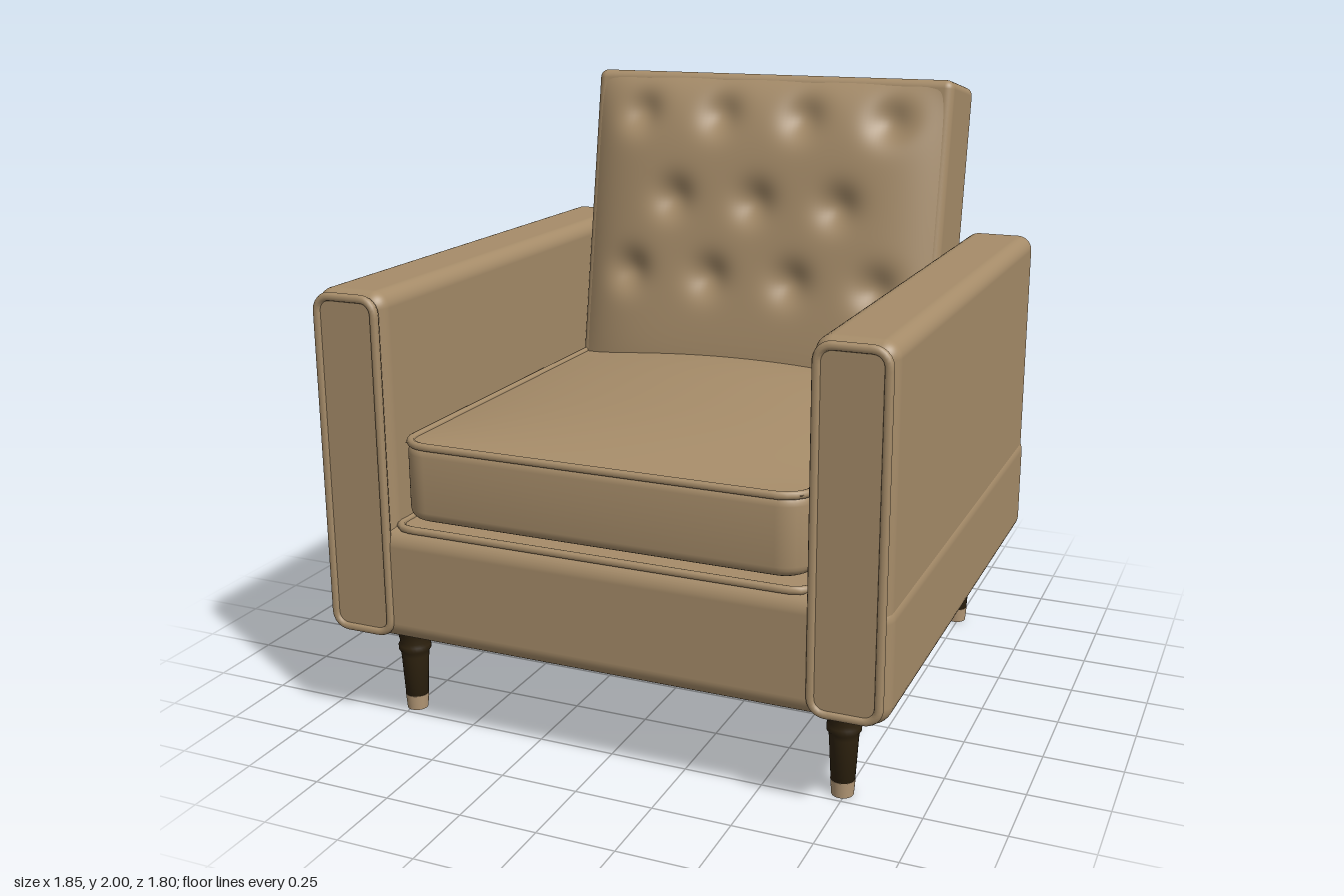
import * as THREE from 'three';
import { RoundedBoxGeometry } from 'three/addons/geometries/RoundedBoxGeometry.js';
import { toCreasedNormals } from 'three/addons/utils/BufferGeometryUtils.js';

const fabric = new THREE.MeshStandardMaterial({ color: 0xa68c69 });
fabric.name = 'tan fabric';
const wood = new THREE.MeshStandardMaterial({ color: 0x2e220f });
wood.name = 'dark wood';
const tip = new THREE.MeshStandardMaterial({ color: 0xb49876 });
tip.name = 'pale foot tip';

function add(parent, name, geometry, material, x = 0, y = 0, z = 0) {
  const mesh = new THREE.Mesh(geometry, material);
  mesh.name = name;
  mesh.position.set(x, y, z);
  parent.add(mesh);
  return mesh;
}

// Rounded rectangle centred on the origin
function roundedRect(w, h, r) {
  const x = w / 2, y = h / 2, s = new THREE.Shape();
  s.moveTo(-x + r, -y);
  s.lineTo(x - r, -y);
  s.absarc(x - r, -y + r, r, -Math.PI / 2, 0);
  s.lineTo(x, y - r);
  s.absarc(x - r, y - r, r, 0, Math.PI / 2);
  s.lineTo(-x + r, y);
  s.absarc(-x + r, y - r, r, Math.PI / 2, Math.PI);
  s.lineTo(-x, -y + r);
  s.absarc(-x + r, -y + r, r, Math.PI, Math.PI * 1.5);
  return s;
}

// Closed cord following a rounded rectangle in the XY plane
function piping(w, h, r, thick) {
  const pts = roundedRect(w, h, r).getSpacedPoints(140).slice(0, -1);
  const path = new THREE.CatmullRomCurve3(pts.map(p => new THREE.Vector3(p.x, p.y, 0)), true);
  return new THREE.TubeGeometry(path, 220, thick, 8, true);
}

// Plane whose surface is raised by a rule of its local position
function puffedPlane(w, h, n, height) {
  const g = new THREE.PlaneGeometry(w, h, n, n), p = g.attributes.position;
  for (let i = 0; i < p.count; i++) {
    const x = p.getX(i), y = p.getY(i);
    p.setZ(i, height(x, y, (2 * x) / w, (2 * y) / h));
  }
  g.computeVertexNormals();
  return g;
}

function makeBack() {
  const back = new THREE.Group();
  back.name = 'backrest';
  back.position.set(0, 1.36, -0.641);
  back.rotation.x = -0.175;
  add(back, 'backrestBody', new RoundedBoxGeometry(1.34, 1.25, 0.31, 5, 0.03), fabric);

  // Staggered rows of button tufts
  const tufts = [];
  for (const x of [-0.465, -0.155, 0.155, 0.465]) tufts.push([x, 0.472], [x, -0.107]);
  for (const x of [-0.31, 0, 0.31]) tufts.push([x, 0.168]);
  const front = puffedPlane(1.3, 1.21, 90, (x, y, u, v) => {
    let h = 0.075 * (1 - u ** 6) * (1 - v ** 6);
    for (const [tx, ty] of tufts) h -= 0.042 * Math.exp(-((x - tx) ** 2 + (y - ty) ** 2) / 0.0052);
    return h;
  });
  add(back, 'tuftedFront', front, fabric, 0, 0, 0.152);
  return back;
}

function makeSeat() {
  const seat = new THREE.Group();
  seat.name = 'seatCushion';
  const bevel = 0.035;
  const body = new THREE.ExtrudeGeometry(roundedRect(1.33 - 2 * bevel, 1.46 - 2 * bevel, 0.06), {
    depth: 0.25 - 2 * bevel, bevelEnabled: true, bevelSize: bevel, bevelThickness: bevel,
    bevelSegments: 5, curveSegments: 8,
  });
  body.rotateX(-Math.PI / 2);
  add(seat, 'cushionBody', toCreasedNormals(body, 0.9), fabric, 0, 0.72 + bevel, 0.13);

  // Domed top
  const crown = puffedPlane(1.29, 1.42, 32, (x, y, u, v) => 0.06 * (1 - u * u) * (1 - v ** 4));
  crown.rotateX(-Math.PI / 2);
  add(seat, 'cushionCrown', crown, fabric, 0, 0.969, 0.13);

  const cord = piping(1.315, 1.445, 0.09, 0.013);
  cord.rotateX(-Math.PI / 2);
  add(seat, 'cushionPiping', cord, fabric, 0, 0.967, 0.13);
  return seat;
}

function makeArm(side) {
  const arm = new THREE.Group();
  arm.name = side > 0 ? 'leftArm' : 'rightArm';
  arm.position.x = side * 0.797;
  add(arm, 'armBody', new RoundedBoxGeometry(0.24, 1.115, 1.775, 5, 0.05), fabric, 0, 0.8825, 0);

  // Piped front panel
  const panel = new THREE.ExtrudeGeometry(roundedRect(0.2, 1.07, 0.04), { depth: 0.02, bevelEnabled: false });
  add(arm, 'armFrontPanel', toCreasedNormals(panel, 0.7), fabric, 0, 0.885, 0.876);
  add(arm, 'armFrontPiping', piping(0.202, 1.072, 0.045, 0.014), fabric, 0, 0.885, 0.892);
  return arm;
}

function makeLeg(x, z) {
  const leg = new THREE.Group();
  leg.name = 'leg';
  leg.position.set(x, 0, z);
  const profile = [[0, 0.05], [0.037, 0.05], [0.045, 0.19], [0.047, 0.205], [0.053, 0.213], [0.053, 0.228],
    [0.047, 0.238], [0.052, 0.265], [0.06, 0.295], [0.064, 0.32], [0.064, 0.345]];
  add(leg, 'legShaft', new THREE.LatheGeometry(profile.map(p => new THREE.Vector2(...p)), 28), wood);
  add(leg, 'legTip', new THREE.CylinderGeometry(0.038, 0.034, 0.05, 28), tip, 0, 0.025, 0);
  return leg;
}

export function createModel() {
  const chair = new THREE.Group();
  chair.name = 'armchair';

  // Base box with a cord along its top edge
  add(chair, 'base', new RoundedBoxGeometry(1.846, 0.375, 1.79, 6, 0.06), fabric, 0, 0.5125, 0);
  const cord = piping(1.36, 1.74, 0.06, 0.013);
  cord.rotateX(-Math.PI / 2);
  add(chair, 'basePiping', cord, fabric, 0, 0.7, 0.005);

  chair.add(makeSeat(), makeBack());
  for (const side of [-1, 1]) {
    chair.add(makeArm(side));
    for (const z of [-0.69, 0.7]) chair.add(makeLeg(side * 0.74, z));
  }
  return chair;
}
